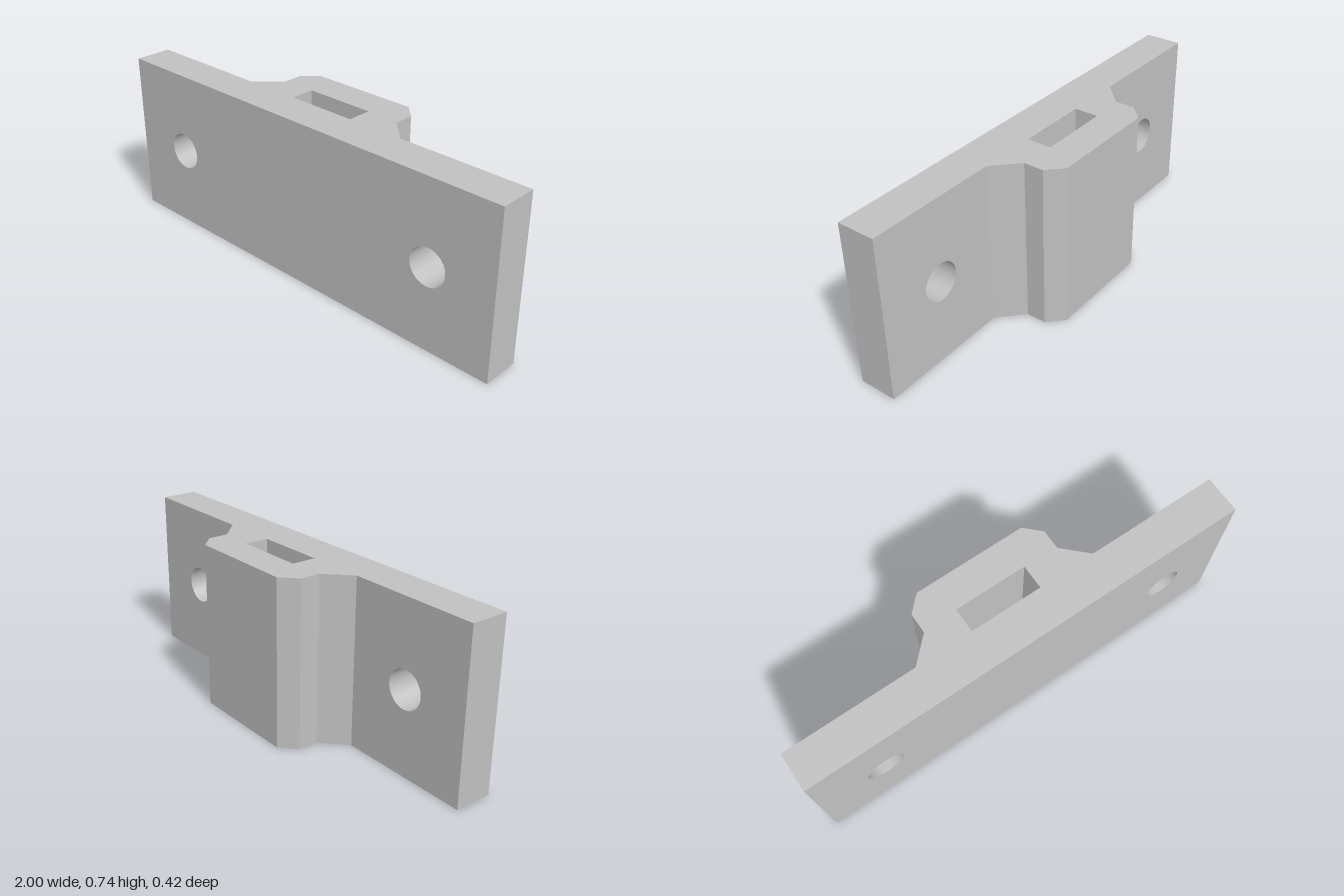
import * as THREE from 'three';
import { toCreasedNormals } from 'three/addons/utils/BufferGeometryUtils.js';

const HEIGHT = 0.735;
const FRONT = 0.21, PLATE_BACK = 0.043;

function extrude(shape, depth) {
  return new THREE.ExtrudeGeometry(shape, { depth, bevelEnabled: false, curveSegments: 48 });
}

export function createModel() {
  const group = new THREE.Group();
  group.name = 'mountingBracket';
  const grey = new THREE.MeshStandardMaterial({ color: 0xc0c0c0 });
  grey.name = 'grey';

  // Flat plate with two round screw holes
  const plateShape = new THREE.Shape([
    new THREE.Vector2(-1, 0), new THREE.Vector2(1, 0),
    new THREE.Vector2(1, HEIGHT), new THREE.Vector2(-1, HEIGHT),
  ]);
  for (const side of [-1, 1]) {
    const hole = new THREE.Path();
    hole.absarc(side * 0.7, HEIGHT / 2, 0.083, 0, Math.PI * 2, true);
    plateShape.holes.push(hole);
  }
  const plateGeometry = extrude(plateShape, FRONT - PLATE_BACK).translate(0, 0, PLATE_BACK);
  const plate = new THREE.Mesh(toCreasedNormals(plateGeometry, 0.5), grey);
  plate.name = 'plate';

  // Chamfered rear boss; the slot is a notch closed off by the plate
  const half = [ // x, z from the slot around to the back
    [0.16, PLATE_BACK], [0.415, PLATE_BACK], [0.313, -0.057], [0.313, -0.145], [0.247, -0.21],
  ];
  const outline = [
    [0.16, -0.065], ...half,
    ...half.map(([x, z]) => [-x, z]).reverse(), [-0.16, -0.065],
  ];
  const bossShape = new THREE.Shape(outline.map(([x, z]) => new THREE.Vector2(x, -z)));
  const boss = new THREE.Mesh(extrude(bossShape, HEIGHT).rotateX(-Math.PI / 2), grey);
  boss.name = 'slottedBoss';

  group.add(plate, boss);
  return group;
}
